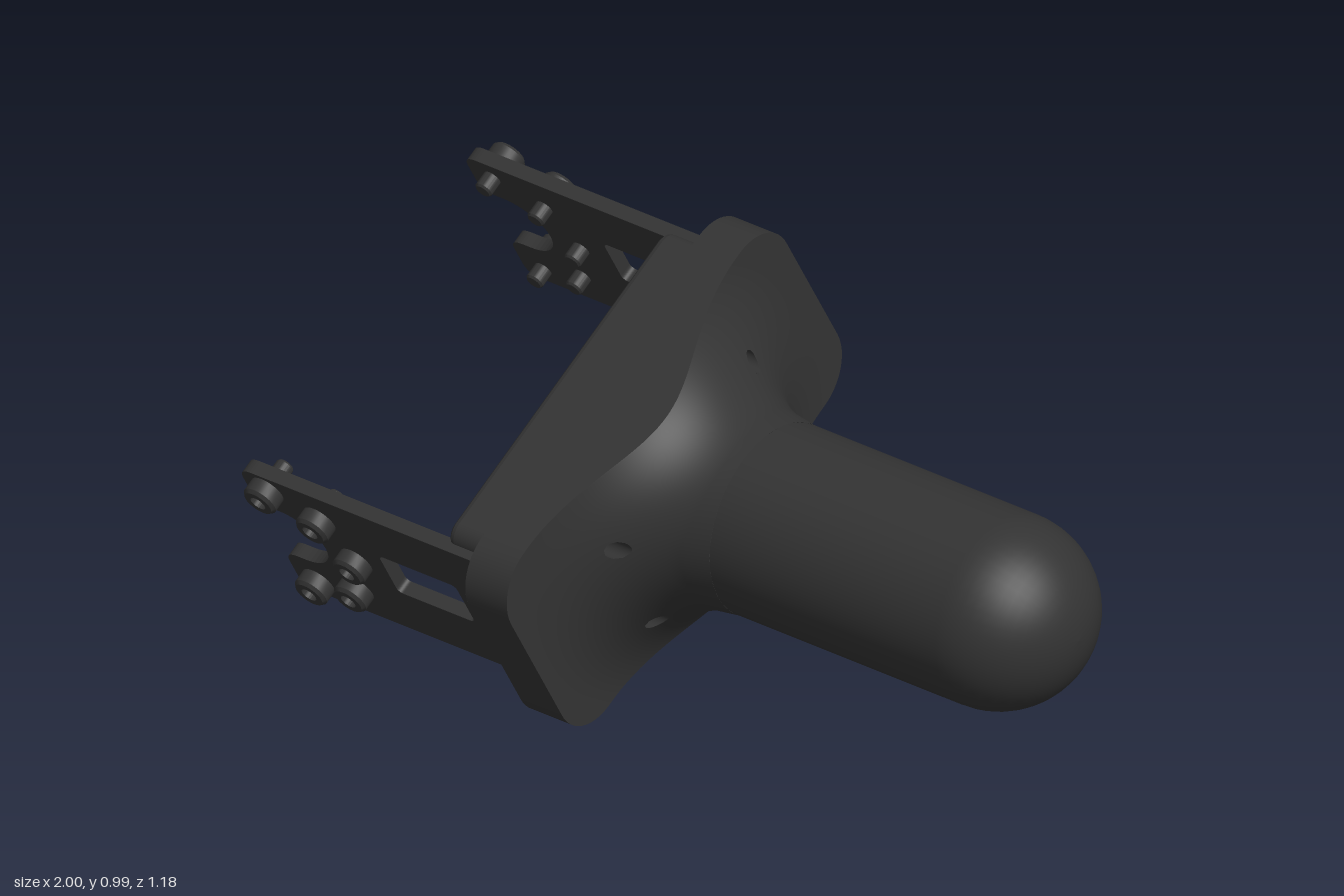
import * as THREE from 'three';
import { toCreasedNormals } from 'three/addons/utils/BufferGeometryUtils.js';

const material = new THREE.MeshStandardMaterial({ color: 0x333333, side: THREE.DoubleSide });

// Local frame: x = long side of the flange, y = short side, z = handle axis
const BACK = -0.29, HANDLE_R = 0.229, FILLET_R = 0.29, HOLE_R = 0.022;
const HOLES = [[0.277, 0.14], [-0.277, 0.14], [-0.277, -0.14], [0.277, -0.14]];

function mesh(name, geometry, parent) {
  const m = new THREE.Mesh(geometry, material);
  m.name = name;
  parent.add(m);
  return m;
}

function roundedRect(target, x0, y0, x1, y1, r) {
  target.moveTo(x0 + r, y0);
  target.lineTo(x1 - r, y0);
  target.absarc(x1 - r, y0 + r, r, -Math.PI / 2, 0);
  target.lineTo(x1, y1 - r);
  target.absarc(x1 - r, y1 - r, r, 0, Math.PI / 2);
  target.lineTo(x0 + r, y1);
  target.absarc(x0 + r, y1 - r, r, Math.PI / 2, Math.PI);
  target.lineTo(x0, y0 + r);
  target.absarc(x0 + r, y0 + r, r, Math.PI, Math.PI * 1.5);
  return target;
}

function addHole(shape, x, y, r) {
  shape.holes.push(new THREE.Path().absarc(x, y, r, 0, Math.PI * 2, true));
}

// Height of the concave sweep between handle and flange at a given radius
function filletHeight(r) {
  const d = Math.min(0, r - HANDLE_R - FILLET_R);
  return 0.12 - Math.sqrt(Math.max(0, FILLET_R ** 2 - d * d));
}

// Closed rings joined into a surface; triangles wholly inside a screw hole are left out
function ringSurface(rings, inHole = () => false) {
  const n = rings[0].length, pos = [], idx = [], cut = [];
  for (const p of rings.flat()) {
    let hit = false;
    for (const [hx, hy] of HOLES) {
      const dx = p[0] - hx, dy = p[1] - hy, d = Math.hypot(dx, dy);
      if (inHole(d)) {
        const k = HOLE_R / Math.max(d, 1e-5);
        p[0] = hx + dx * k;
        p[1] = hy + dy * k;
        p[2] = filletHeight(Math.hypot(p[0], p[1]));
        hit = true;
      }
    }
    cut.push(hit);
    pos.push(...p);
  }
  const tri = (a, b, c) => { if (!(cut[a] && cut[b] && cut[c])) idx.push(a, b, c); };
  for (let j = 0; j < rings.length - 1; j++) {
    for (let i = 0; i < n; i++) {
      const k = (i + 1) % n;
      const a = j * n + i, b = a + n, c = (j + 1) * n + k, d = j * n + k;
      tri(a, b, c);
      tri(a, c, d);
    }
  }
  const g = new THREE.BufferGeometry();
  g.setAttribute('position', new THREE.Float32BufferAttribute(pos, 3));
  g.setIndex(idx);
  g.computeVertexNormals();
  return g;
}

function buildFlange(parent) {
  const outline = roundedRect(new THREE.Shape(), -0.56, -0.3, 0.56, 0.3, 0.12);
  const edge = outline.getSpacedPoints(200).slice(0, 200);
  const rings = [], steps = 34;
  for (let j = 0; j <= steps; j++) {
    rings.push(edge.map((p) => {
      const r = THREE.MathUtils.lerp(HANDLE_R, p.length(), j / steps);
      const k = r / p.length();
      return [p.x * k, p.y * k, filletHeight(r)];
    }));
  }
  const rim = [
    edge.map((p) => [p.x, p.y, filletHeight(p.length())]),
    edge.map((p) => [p.x, p.y, BACK]),
  ];
  mesh('flangeSweep', ringSurface(rings, (d) => d < HOLE_R), parent);
  mesh('flangeRim', ringSurface(rim), parent);

  const backShape = new THREE.Shape(edge);
  for (const [x, y] of HOLES) addHole(backShape, x, y, HOLE_R);
  const back = new THREE.ShapeGeometry(backShape, 12);
  mesh('flangeBack', back.rotateY(Math.PI).translate(0, 0, BACK), parent);

  // Screw hole walls, trimmed to the sweep
  for (const [x, y] of HOLES) {
    const g = new THREE.CylinderGeometry(HOLE_R, HOLE_R, 1, 24, 1, true).rotateX(Math.PI / 2);
    const p = g.attributes.position;
    for (let i = 0; i < p.count; i++) {
      const px = p.getX(i) + x, py = p.getY(i) + y;
      p.setXYZ(i, px, py, p.getZ(i) > 0 ? filletHeight(Math.hypot(px, py)) : BACK);
    }
    mesh('screwHoleWall', g, parent);
  }
}

function buildHandle(parent) {
  const profile = [new THREE.Vector2(HANDLE_R, 0.12)];
  for (let i = 0; i <= 14; i++) {
    const a = (i / 14) * Math.PI / 2;
    profile.push(new THREE.Vector2(HANDLE_R * Math.cos(a), 0.771 + HANDLE_R * Math.sin(a)));
  }
  mesh('handle', new THREE.LatheGeometry(profile, 48).rotateX(Math.PI / 2), parent);
}

// Slab behind the flange with a central bore; the bevel widens the slab and narrows its holes
function buildBase(parent) {
  const b = 0.018;
  const shape = roundedRect(new THREE.Shape(), -0.437, -0.242, 0.437, 0.242, 0.025);
  for (const [x, y] of HOLES) addHole(shape, x, y, HOLE_R + b);
  addHole(shape, 0, 0, 0.17 + b);
  const g = new THREE.ExtrudeGeometry(shape, {
    depth: 0.12 - 2 * b, bevelThickness: b, bevelSize: b, bevelSegments: 3, curveSegments: 16,
  });
  mesh('bracketBase', g.translate(0, 0, -0.41 + b), parent);
}

// One arm with a window, a forked end and five bolts
function buildArm() {
  const arm = new THREE.Group(), W = 0.232, N = 0.096, c = 0.04;
  const s = new THREE.Shape();
  s.moveTo(-1 + c, -W);
  s.lineTo(BACK - 0.02, -W);
  s.quadraticCurveTo(BACK, -W, BACK, -W + 0.02);
  s.lineTo(BACK, W - 0.02);
  s.quadraticCurveTo(BACK, W, BACK - 0.02, W);
  s.lineTo(-1 + c, W);
  s.quadraticCurveTo(-1, W, -1, W - c);
  s.lineTo(-1, N + c);
  s.quadraticCurveTo(-1, N, -1 + c, N);
  s.lineTo(-0.937, N);
  s.absarc(-0.937, 0, N, Math.PI / 2, -Math.PI / 2, true);
  s.lineTo(-1 + c, -N);
  s.quadraticCurveTo(-1, -N, -1, -N - c);
  s.lineTo(-1, -W + c);
  s.quadraticCurveTo(-1, -W, -1 + c, -W);
  s.holes.push(roundedRect(new THREE.Path(), -0.66, -0.071, -0.437, 0.071, 0.015));
  const plate = new THREE.ExtrudeGeometry(s, { depth: 0.035, bevelEnabled: false, curveSegments: 12 });
  mesh('armPlate', plate.rotateY(-Math.PI / 2).translate(-0.44, 0, 0), arm);

  const profile = [[0, -0.075], [0.018, -0.075], [0.022, -0.07], [0.022, 0], [0.043, 0], [0.043, 0.032],
    [0.036, 0.04], [0.02, 0.04], [0.02, 0.015], [0, 0.015]].map((p) => new THREE.Vector2(...p));
  const bolt = toCreasedNormals(new THREE.LatheGeometry(profile, 24), 0.5).rotateZ(Math.PI / 2);
  for (const [z, y] of [[-0.935, 0.18], [-0.803, 0.135], [-0.752, 0], [-0.803, -0.135], [-0.935, -0.18]]) {
    mesh('bolt', bolt, arm).position.set(-0.475, y, z);
  }
  return arm;
}

export function createModel() {
  const model = new THREE.Group();
  model.name = 'grip';
  const body = new THREE.Group();
  body.name = 'body';
  model.add(body);

  buildHandle(body);
  buildFlange(body);
  buildBase(body);
  for (const [name, turn] of [['lowerArm', 0], ['upperArm', Math.PI]]) {
    const arm = buildArm();
    arm.name = name;
    arm.rotation.z = turn;
    body.add(arm);
  }

  // Lay the handle along +x and roll the flange by 30 degrees
  const co = Math.cos(Math.PI / 6), si = 0.5;
  body.quaternion.setFromRotationMatrix(new THREE.Matrix4().makeBasis(
    new THREE.Vector3(0, si, -co), new THREE.Vector3(0, co, si), new THREE.Vector3(1, 0, 0)));
  body.position.y = 0.497;
  return model;
}
